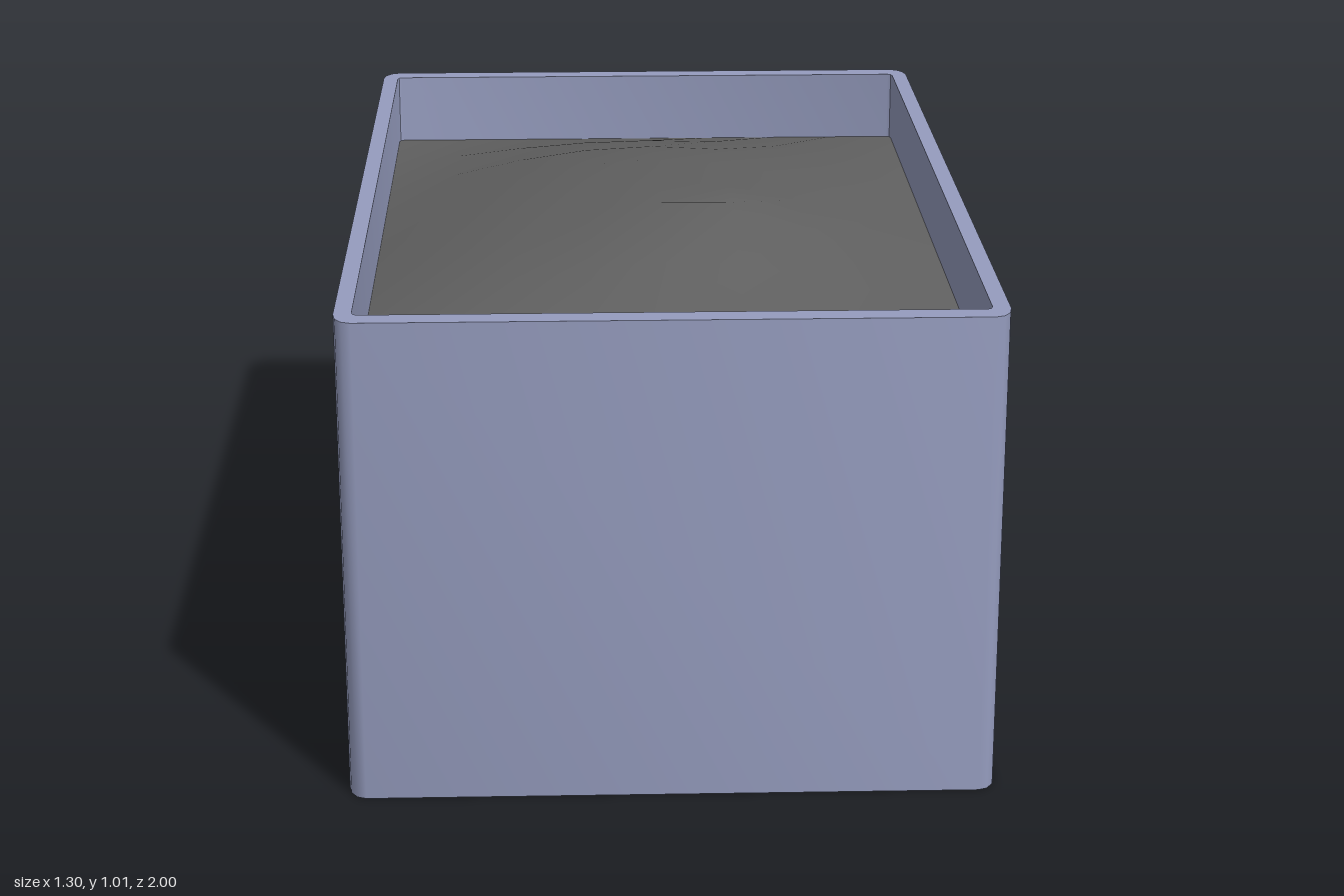
import * as THREE from 'three';
import { toCreasedNormals } from 'three/addons/utils/BufferGeometryUtils.js';

const SOIL_EDGE = 0.84;
const INNER_X = 0.615, INNER_Z = 0.95;

// Counter-clockwise rectangle outline with faceted corners
function outline(halfX, halfZ, rx, rz, steps) {
  const points = [];
  const corners = [[1, 1], [-1, 1], [-1, -1], [1, -1]];
  corners.forEach(([sx, sz], i) => {
    for (let k = 0; k <= steps; k++) {
      const a = (i + k / steps) * Math.PI / 2;
      points.push(new THREE.Vector2(
        sx * (halfX - rx) + rx * Math.cos(a),
        sz * (halfZ - rz) + rz * Math.sin(a)));
    }
  });
  return points;
}

// Extrude a floor-plan shape upwards from y0
function upright(shape, y0, height) {
  const geometry = new THREE.ExtrudeGeometry(shape, { depth: height, bevelEnabled: false });
  geometry.rotateX(-Math.PI / 2).translate(0, y0, 0);
  return toCreasedNormals(geometry, 0.62);
}

// Height of the earth: a broad mound with one off-centre hump
function soilHeight(x, z) {
  const mound = Math.cos(x / INNER_X * Math.PI / 2) * Math.cos(z / INNER_Z * Math.PI / 2);
  const hump = Math.exp(-33 * ((x - 0.1) ** 2 + (z - 0.26) ** 2));
  return SOIL_EDGE + 0.15 * mound + 0.05 * hump;
}

export function createModel() {
  const group = new THREE.Group();
  group.name = 'planterBox';

  const wallMaterial = new THREE.MeshStandardMaterial({ color: 0x959cbe });
  wallMaterial.name = 'blueGreyWall';
  const soilMaterial = new THREE.MeshStandardMaterial({ color: 0x606060 });
  soilMaterial.name = 'darkSoil';

  const add = (name, geometry, material) => {
    const mesh = new THREE.Mesh(geometry, material);
    mesh.name = name;
    group.add(mesh);
  };

  // Four walls as one open frame
  const frame = new THREE.Shape(outline(0.65, 1, 0.036, 0.055, 3));
  frame.holes.push(new THREE.Path(outline(INNER_X, INNER_Z, 0.01, 0.015, 2).reverse()));
  add('walls', upright(frame, 0, 1), wallMaterial);

  // Floor, raised above the lower edge of the walls
  const floor = new THREE.BoxGeometry(INNER_X * 2, 0.05, INNER_Z * 2);
  floor.translate(0, 0.085, 0);
  add('floor', floor, wallMaterial);

  // Mounded soil on a coarse grid
  const soil = new THREE.PlaneGeometry(INNER_X * 2, INNER_Z * 2, 8, 8);
  soil.rotateX(-Math.PI / 2);
  const p = soil.attributes.position;
  for (let i = 0; i < p.count; i++) p.setY(i, soilHeight(p.getX(i), p.getZ(i)));
  soil.computeVertexNormals();
  add('soil', soil, soilMaterial);

  return group;
}
